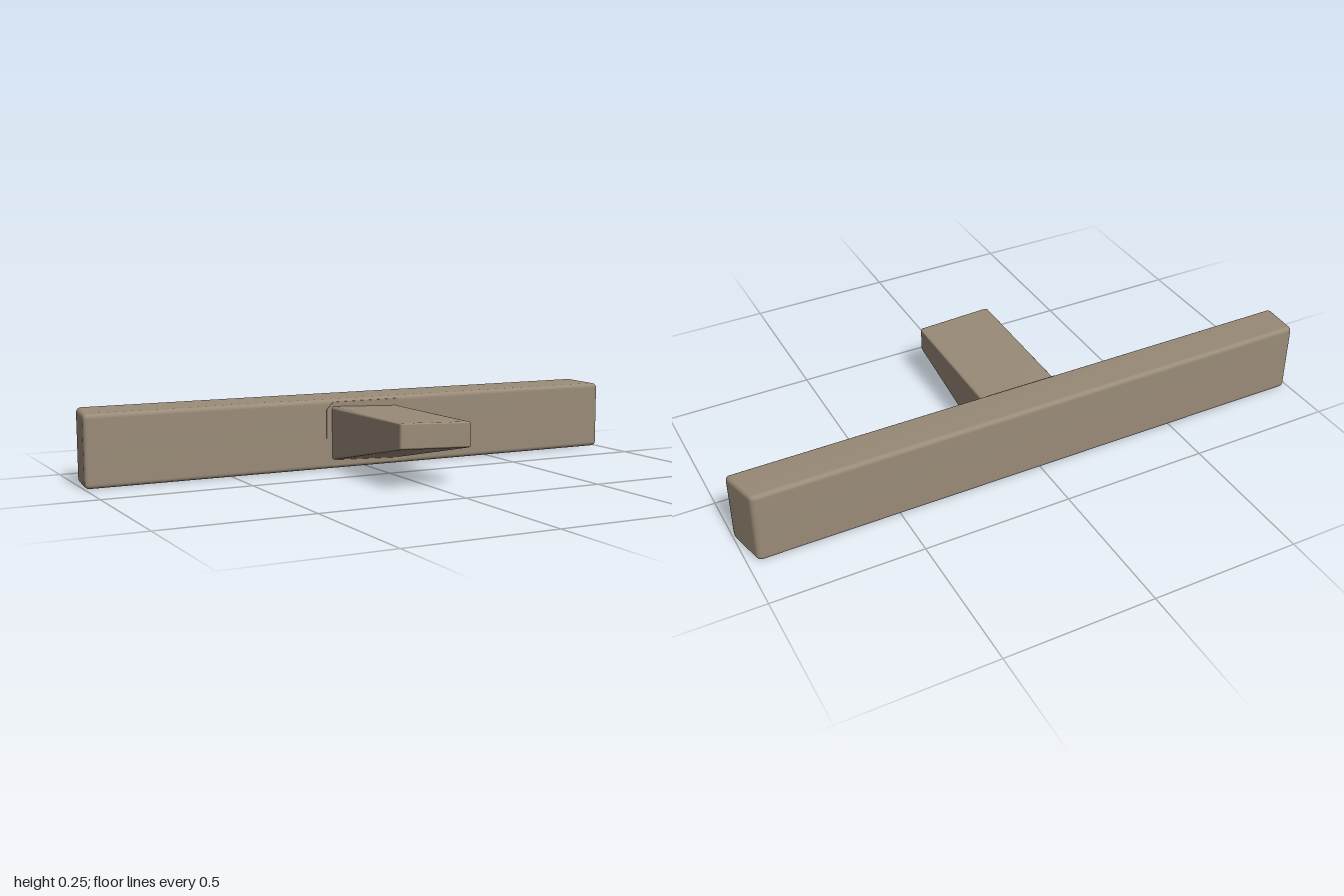
import * as THREE from 'three';
import { mergeVertices } from 'three/addons/utils/BufferGeometryUtils.js';
import { RoundedBoxGeometry } from 'three/addons/geometries/RoundedBoxGeometry.js';

// Soft-edged block whose vertices are moved by a rule
function warpedBlock(w, h, d, radius, rule) {
  let geo = new RoundedBoxGeometry(w, h, d, 2, radius);
  geo.deleteAttribute('uv');
  geo.deleteAttribute('normal');
  geo.clearGroups();
  const pos = geo.attributes.position;
  const v = new THREE.Vector3();
  for (let i = 0; i < pos.count; i++) {
    v.fromBufferAttribute(pos, i);
    rule(v);
    pos.setXYZ(i, v.x, v.y, v.z);
  }
  geo = mergeVertices(geo, 1e-5);
  geo.computeVertexNormals();
  return geo;
}

export function createModel() {
  const model = new THREE.Group();
  const stone = new THREE.MeshStandardMaterial({ color: 0x9a8b78 });
  stone.name = 'warm stone';
  const add = (name, geo) => {
    const mesh = new THREE.Mesh(geo, stone);
    mesh.name = name;
    model.add(mesh);
    return mesh;
  };

  // Long bar: ends taper towards the back, top rises slightly to the back
  add('bar', warpedBlock(2, 0.245, 0.149, 0.016, (v) => {
    const back = 0.5 - v.z / 0.149;
    v.x *= 1 - back * (v.x > 0 ? 0.033 : 0.015);
    const up = v.y / 0.245 + 0.5;
    v.y = up * (0.242 + 0.008 * back);
    v.z -= 0.249;
  }));

  // Bracket: level top, underside rising to the front, slight sideways tilt
  add('bracket', warpedBlock(0.262, 0.19, 0.53, 0.011, (v) => {
    v.z += 0.06;
    const top = 0.213;
    const bottom = 0.0625 + 0.208 * v.z;
    const up = v.y / 0.19 + 0.5;
    v.y = bottom + up * (top - bottom) - v.x * 0.04;
    v.x -= 0.003;
  }));

  // Shallow octagonal seat where the bracket meets the bar
  const [x0, x1, y0, y1, c] = [-0.154, 0.148, 0.012, 0.233, 0.025];
  const seat = new THREE.Shape([
    [x0 + c, y0], [x1 - c, y0], [x1, y0 + c], [x1, y1 - c],
    [x1 - c, y1], [x0 + c, y1], [x0, y1 - c], [x0, y0 + c],
  ].map(([x, y]) => new THREE.Vector2(x, y)));
  add('bracketSeat', new THREE.ExtrudeGeometry(seat, { depth: 0.006, bevelEnabled: false }))
    .position.z = -0.178;

  return model;
}
